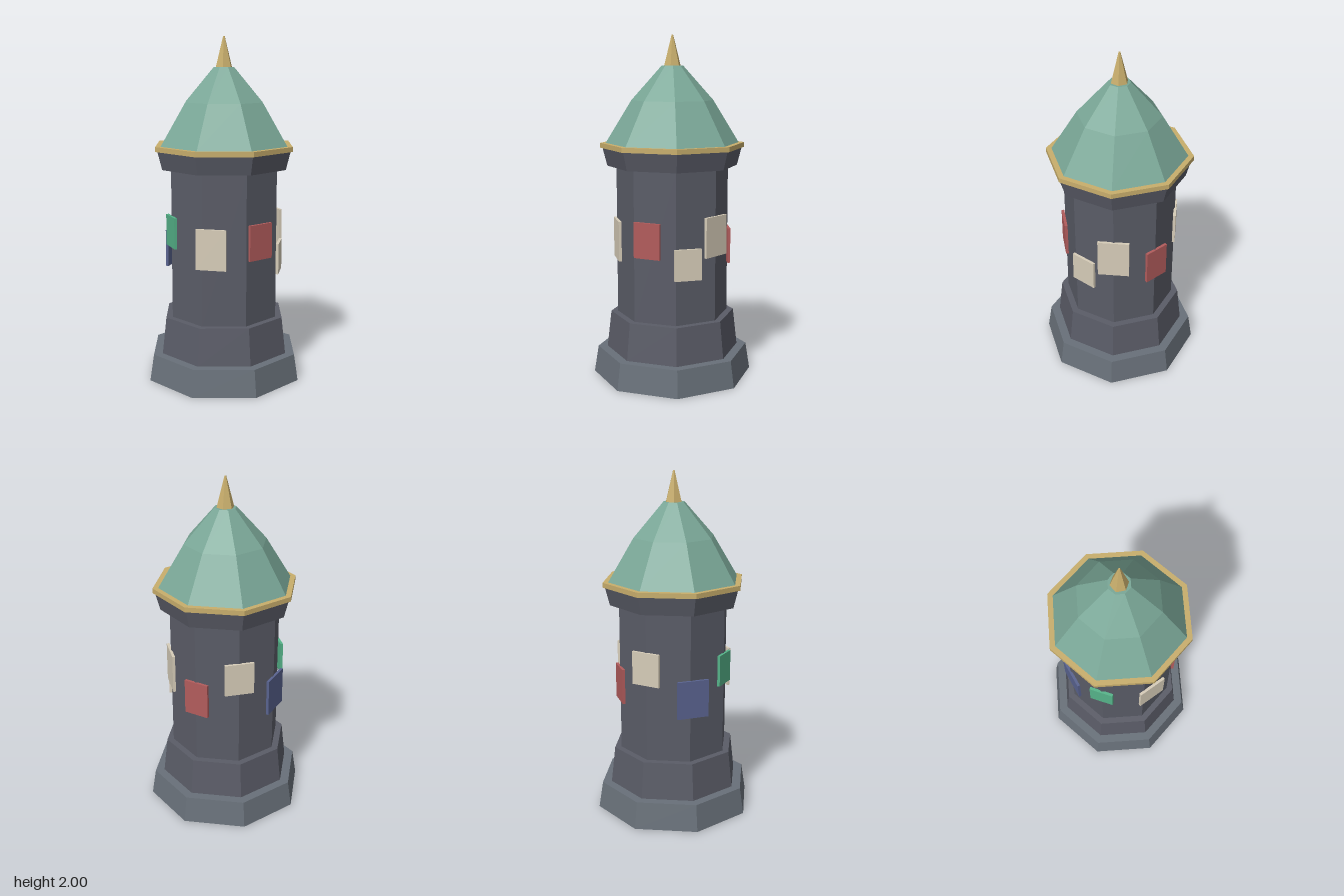
import * as THREE from 'three';

const mat = (color) => new THREE.MeshStandardMaterial({ color, flatShading: true });

const stone = mat(0x5a5c67);
const plinthStone = mat(0x687079);
const copper = mat(0x7aa797);
const gold = mat(0xc8ae6c);
const paper = {
  cream: mat(0xd6ccb8),
  red: mat(0xb25c5c),
  green: mat(0x55b389),
  blue: mat(0x59638f),
};

export function createModel() {
  const group = new THREE.Group();

  // Tapered prism between two heights, corners on the axes
  const tier = (name, y0, y1, r0, r1, material, sides = 8) => {
    const mesh = new THREE.Mesh(new THREE.CylinderGeometry(r1, r0, y1 - y0, sides), material);
    mesh.position.y = (y0 + y1) / 2;
    mesh.name = name;
    group.add(mesh);
    return mesh;
  };

  // Stone column
  tier('plinth', 0, 0.157, 0.472, 0.447, plinthStone);
  tier('lowerStep', 0.157, 0.375, 0.392, 0.367, stone);
  tier('shaft', 0.375, 1.252, 0.327, 0.327, stone);
  tier('cornice', 1.252, 1.357, 0.38, 0.407, stone);
  tier('goldRim', 1.357, 1.385, 0.42, 0.42, gold);

  // Two-pitch roof and spike
  tier('lowerRoof', 1.385, 1.63, 0.388, 0.238, copper);
  tier('upperRoof', 1.63, 1.826, 0.238, 0.063, copper);
  tier('finial', 1.826, 2, 0.05, 0.005, gold, 6).rotation.y = Math.PI / 2;

  // Posters around the shaft: [colour, degrees from front, width, bottom, top]
  const posters = [
    ['cream', -35.4, 0.173, 0.71, 0.943],
    ['red', 16, 0.162, 0.757, 0.962],
    ['cream', 57, 0.157, 0.637, 0.817],
    ['cream', 90, 0.18, 0.757, 0.988],
    ['red', 136.3, 0.15, 0.676, 0.884],
    ['cream', 180, 0.17, 0.83, 1.022],
    ['blue', 227.6, 0.185, 0.645, 0.865],
    ['green', 270, 0.14, 0.8, 0.982],
  ];
  posters.forEach(([color, degrees, width, y0, y1], i) => {
    const a = THREE.MathUtils.degToRad(degrees);
    const mesh = new THREE.Mesh(new THREE.BoxGeometry(width, y1 - y0, 0.016), paper[color]);
    mesh.position.set(Math.sin(a) * 0.328, (y0 + y1) / 2, Math.cos(a) * 0.328);
    mesh.rotation.y = a;
    mesh.name = `poster${i + 1}`;
    group.add(mesh);
  });

  return group;
}
